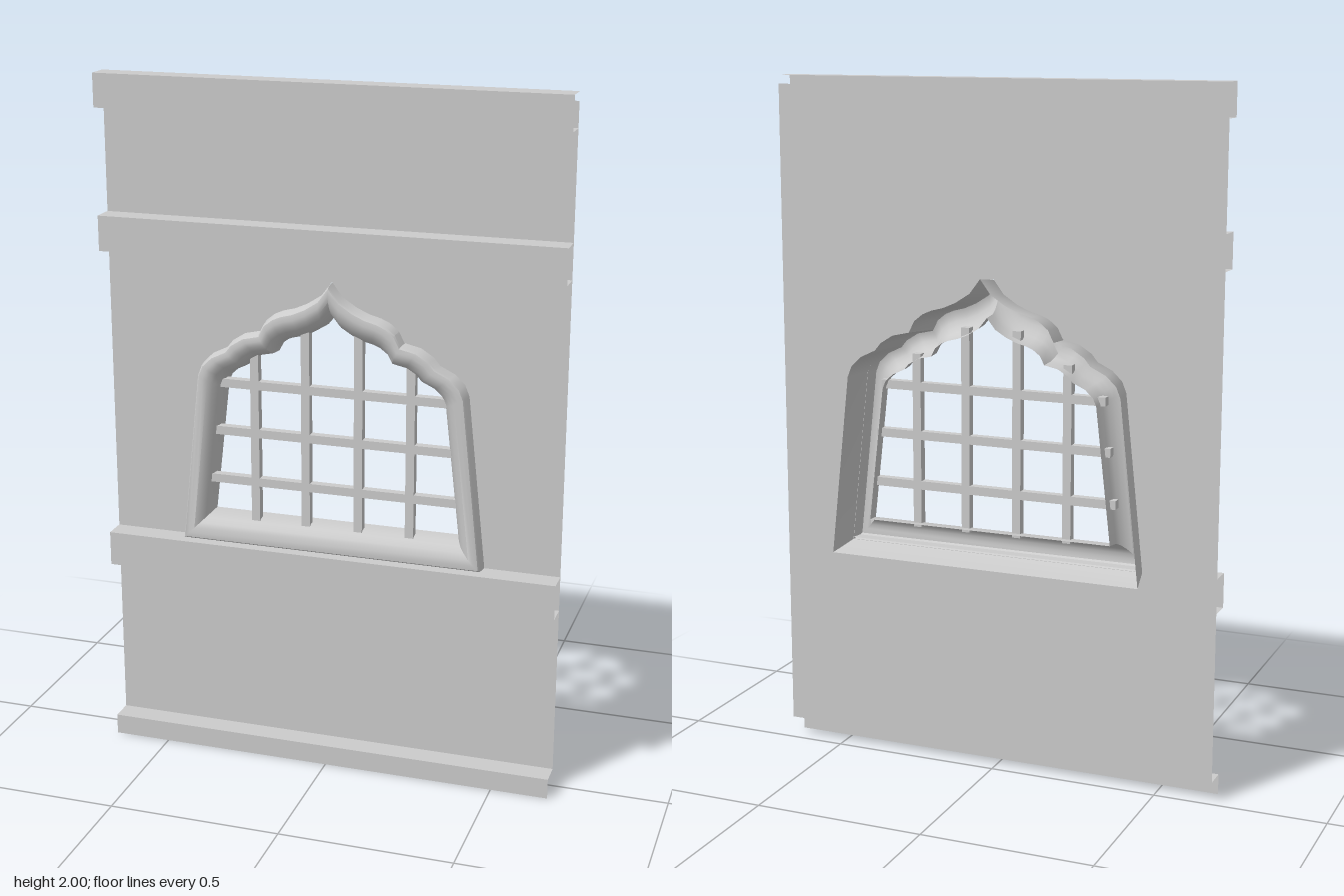
import * as THREE from 'three';
import { toCreasedNormals } from 'three/addons/utils/BufferGeometryUtils.js';

const WIDTH = 1.333, WALL_Z = 0.012, LEDGE_Z = 0.079;
const BASE = 0.656; // sill height of the window outline

// Right half of the cusped arch, from the sill corner up to the apex
const half = [
  [0.444, BASE], [0.39, 1.155], [0.378, 1.185], [0.35, 1.212], [0.307, 1.233],
  [0.29, 1.254], [0.254, 1.277], [0.206, 1.288], [0.19, 1.32], [0.165, 1.34],
  [0.14, 1.351], [0.106, 1.36], [0.07, 1.376], [0.03, 1.402], [0, 1.442],
];
const outline = [...half, ...half.slice(0, -1).reverse().map(([x, y]) => [-x, y])];

// Outline scaled inward: t = 0 is the outer edge, t = 1 the clear opening
const ring = (t, z, top = 1) => outline.map(([x, y]) => [
  x * (1 - 0.167 * t),
  BASE + 0.074 * t + (y - BASE) * (1 - 0.216 * t) * top,
  z,
]);

export function createModel() {
  const group = new THREE.Group();
  const sheet = new THREE.MeshStandardMaterial({ color: 0xcccccc, side: THREE.DoubleSide });
  const solid = new THREE.MeshStandardMaterial({ color: 0xcccccc });

  const add = (name, geometry, material, x = 0, y = 0, z = 0, parent = group) => {
    const mesh = new THREE.Mesh(geometry, material);
    mesh.name = name;
    mesh.position.set(x, y, z);
    parent.add(mesh);
    return mesh;
  };

  // Thin wall panel with the arched window cut out
  const wall = new THREE.Shape();
  wall.moveTo(-WIDTH / 2, 0.06);
  wall.lineTo(WIDTH / 2, 0.06);
  wall.lineTo(WIDTH / 2, 1.975);
  wall.lineTo(-WIDTH / 2, 1.975);
  wall.closePath();
  wall.holes.push(new THREE.Path(ring(-0.07, 0).map(([x, y]) => new THREE.Vector2(x, y))));
  add('wall', new THREE.ShapeGeometry(wall), sheet, 0, 0, WALL_Z);

  // Hollow ledges, open at the ends and against the wall
  const depth = LEDGE_Z - WALL_Z, midZ = (LEDGE_Z + WALL_Z) / 2;
  const ledge = (name, y0, y1, hasBottom = true) => {
    const part = new THREE.Group();
    part.name = name;
    group.add(part);
    add('ledgeFront', new THREE.PlaneGeometry(WIDTH, y1 - y0), sheet, 0, (y0 + y1) / 2, LEDGE_Z, part);
    add('ledgeTop', new THREE.PlaneGeometry(WIDTH, depth).rotateX(-Math.PI / 2), sheet, 0, y1, midZ, part);
    if (hasBottom) {
      add('ledgeBottom', new THREE.PlaneGeometry(WIDTH, depth).rotateX(Math.PI / 2), sheet, 0, y0, midZ, part);
    }
  };
  ledge('baseLedge', 0, 0.06, false);
  ledge('sillLedge', 0.555, 0.656);
  ledge('upperLedge', 1.503, 1.604);
  ledge('topLedge', 1.905, 2);

  // Window frame: flared surround, rounded moulding, then a lip running back
  const rings = [
    ring(-0.33, -0.083, 0.985), ring(0, 0.044), ring(0.06, 0.05), ring(0.25, 0.053),
    ring(0.45, 0.049), ring(0.65, 0.04), ring(0.83, 0.026), ring(0.95, 0.008), ring(1, -0.035),
  ];
  const n = outline.length, index = [];
  for (let i = 0; i < rings.length - 1; i++) {
    for (let j = 0; j < n; j++) {
      const a = i * n + j, b = i * n + (j + 1) % n;
      index.push(a, b, b + n, a, b + n, a + n);
    }
  }
  const frame = new THREE.BufferGeometry();
  frame.setAttribute('position', new THREE.Float32BufferAttribute(rings.flat(2), 3));
  frame.setIndex(index);
  add('windowFrame', toCreasedNormals(frame, 0.65), sheet);

  // Lattice of bars whose ends run into the frame lip
  const lattice = new THREE.Group();
  lattice.name = 'lattice';
  group.add(lattice);
  const bar = 0.025, barZ = 0.005;
  for (const side of [-1, 1]) {
    for (const [x, top] of [[0.078, 1.31], [0.23, 1.225]]) {
      add('verticalBar', new THREE.BoxGeometry(bar, top - 0.715, bar), solid, side * x, (top + 0.715) / 2, barZ, lattice);
    }
  }
  for (const [y, reach] of [[0.84, 0.375], [0.987, 0.358], [1.13, 0.342]]) {
    add('horizontalBar', new THREE.BoxGeometry(reach * 2, bar, bar), solid, 0, y, barZ, lattice);
  }

  return group;
}
